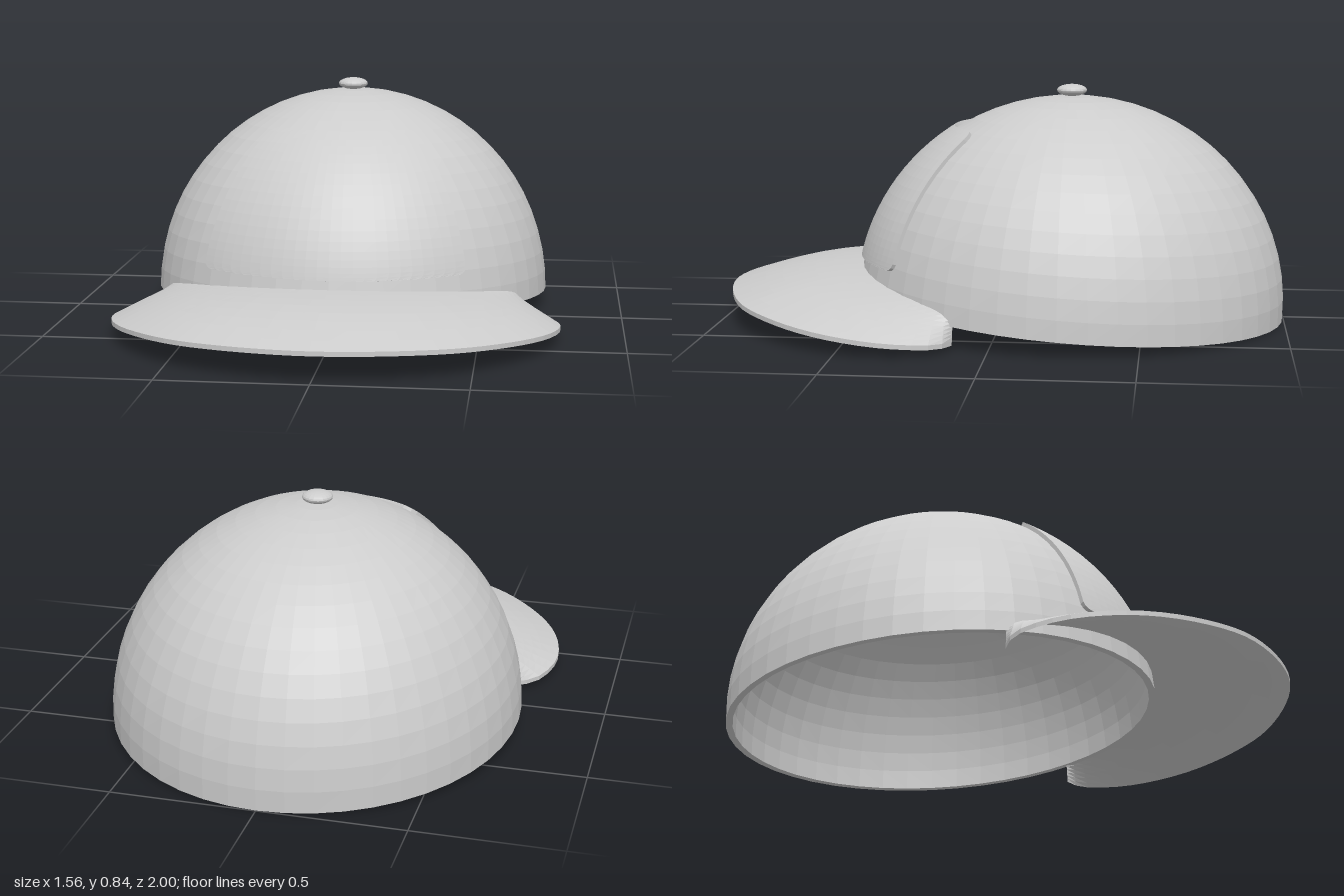
import * as THREE from 'three';

const BASE_Y = 0.062, HEIGHT = 0.738, RX = 0.725, RZ = 0.766, CZ = -0.234;

// Point on the crown at azimuth a (0 = front, toward +x) and elevation e, pushed out by off
function crownPoint(a, e, off = 0) {
  return new THREE.Vector3(
    (RX + off) * Math.sin(a) * Math.cos(e),
    BASE_Y + (HEIGHT + off) * Math.sin(e),
    CZ + (RZ + off) * Math.cos(a) * Math.cos(e));
}
const elevationAt = (y) => Math.asin((y - BASE_Y) / HEIGHT);

// Closed slab between two surfaces outer(u, v) and inner(u, v), with u and v from 0 to 1
function slab(outer, inner, nu, nv) {
  const pos = [], index = [], row = nu + 1, count = row * (nv + 1);
  for (const f of [outer, inner])
    for (let j = 0; j <= nv; j++)
      for (let i = 0; i <= nu; i++) pos.push(...f(i / nu, j / nv).toArray());
  const quad = (a, b, c, d) => index.push(a, b, c, a, c, d);
  for (let j = 0; j < nv; j++)
    for (let i = 0; i < nu; i++) {
      const a = j * row + i, b = a + 1, c = b + row, d = a + row;
      quad(a, b, c, d);
      quad(a + count, d + count, c + count, b + count);
    }
  const wall = (a, b) => quad(b, a, a + count, b + count);
  for (let i = 0; i < nu; i++) {
    wall(i, i + 1);
    wall(nv * row + i + 1, nv * row + i);
  }
  for (let j = 0; j < nv; j++) {
    wall(j * row + nu, (j + 1) * row + nu);
    wall((j + 1) * row, j * row);
  }
  const geo = new THREE.BufferGeometry();
  geo.setAttribute('position', new THREE.Float32BufferAttribute(pos, 3));
  geo.setIndex(index);
  geo.computeVertexNormals();
  return geo;
}

export function createModel() {
  const cap = new THREE.Group();
  cap.name = 'cap';
  const cloth = new THREE.MeshStandardMaterial({ color: 0xcccccc, flatShading: true, side: THREE.DoubleSide });
  cloth.name = 'light grey cloth';
  const add = (name, geo) => {
    const mesh = new THREE.Mesh(geo, cloth);
    mesh.name = name;
    cap.add(mesh);
    return mesh;
  };

  // Hollow crown whose rim is higher at the front than at the back
  const crown = (off) => (u, v) => {
    const a = (u * 2 - 1) * Math.PI;
    const start = elevationAt(0.06 + 0.055 * Math.cos(a));
    return crownPoint(a, THREE.MathUtils.lerp(start, Math.PI / 2, v), off);
  };
  add('crown', slab(crown(0), crown(-0.024), 48, 16));

  // Raised front panel with rounded corners, bounded by two meridians
  const LOW = 0.228, HIGH = 0.683, CORNER = 0.03;
  const panel = (off) => (u, v) => {
    // rows bunch up toward the top and bottom edges to shape the corners
    const y = LOW + (HIGH - LOW) * (1 - Math.cos(Math.PI * v)) / 2;
    const edge = Math.min(y - LOW, HIGH - y, CORNER);
    const inset = CORNER - Math.sqrt(Math.max(0, CORNER ** 2 - (CORNER - edge) ** 2));
    const e = elevationAt(y);
    const half = 0.688 - inset / (RX * Math.cos(e));
    return crownPoint((u * 2 - 1) * half, e, off);
  };
  add('frontPanel', slab(panel(0.013), panel(-0.005), 24, 20));

  // Curved visor from its outer edge (v = 0) to the seam on the crown (v = 1)
  const side = [[0.4, 0.9], [0.6, 0.745], [0.73, 0.56], [0.778, 0.38], [0.765, 0.26], [0.715, 0.16], [0.64, 0.12]];
  const outline = [...side.map(([x, z]) => [-x, z]).reverse(), [0, 1], ...side];
  const edgeCurve = new THREE.CatmullRomCurve3(
    outline.map(([x, z]) => new THREE.Vector3(x, 0.113 - 0.085 * (1 - z), z)));
  const visor = (drop) => (u, v) => {
    const a = (u * 2 - 1) * 1.08;
    const seam = crownPoint(a, elevationAt(0.165), -0.012);
    seam.y = 0.2 - 0.17 * (0.52 - seam.z);
    const p = edgeCurve.getPointAt(u).lerp(seam, v);
    p.y += 0.022 * Math.sin(Math.PI * v) * Math.sin(Math.PI * u) - drop;
    return p;
  };
  add('visor', slab(visor(0), visor(0.016), 48, 8));

  // Button on top
  const button = add('topButton', new THREE.SphereGeometry(0.054, 20, 12));
  button.scale.y = 0.4;
  button.position.set(0, 0.819, CZ);

  return cap;
}
